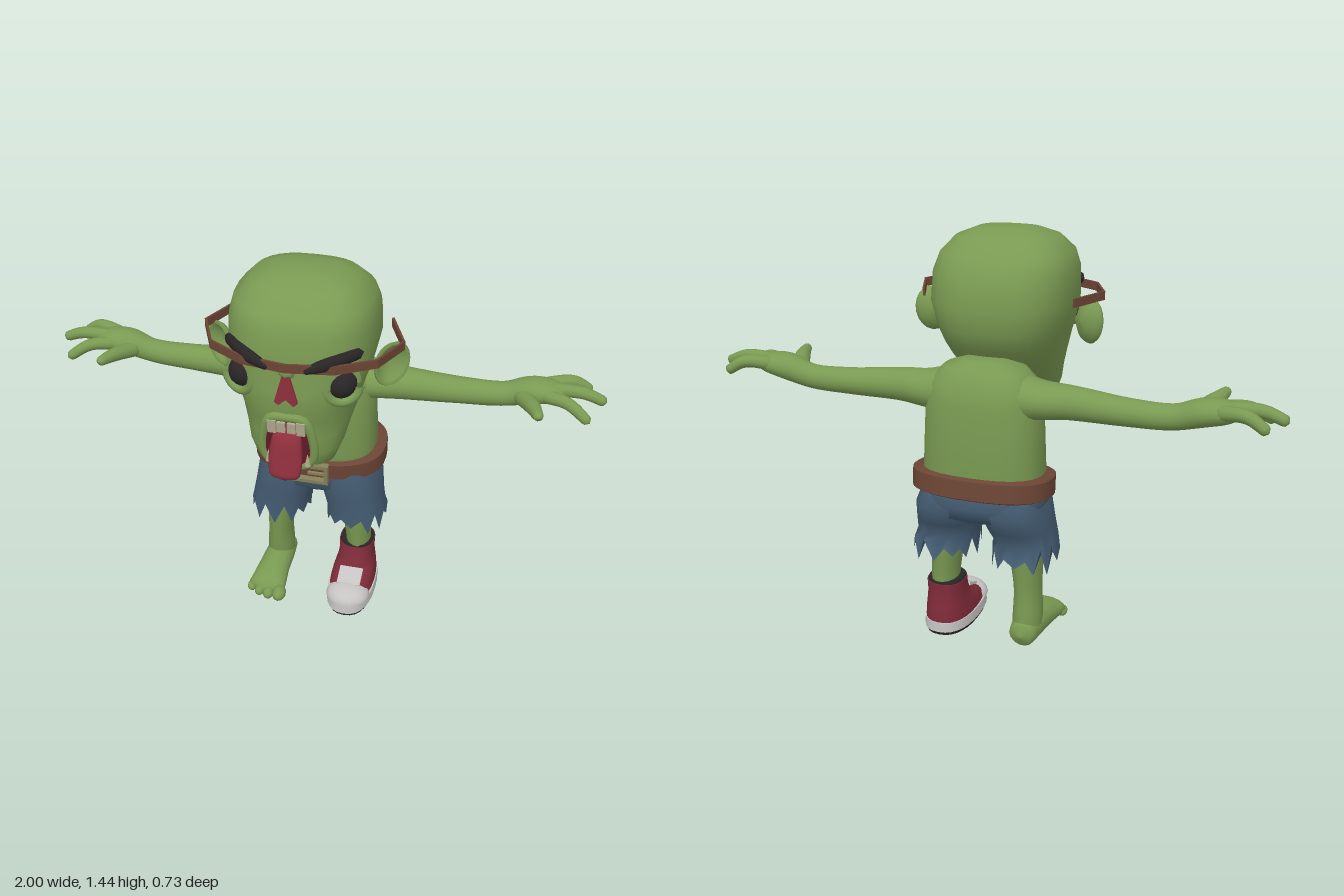
import * as THREE from 'three';
import { toCreasedNormals } from 'three/addons/utils/BufferGeometryUtils.js';

const mat = (name, color, side = THREE.FrontSide) => {
  const m = new THREE.MeshStandardMaterial({ color, side });
  m.name = name;
  return m;
};

// Skin a list of rings (each an array of Vector3, counter-clockwise about the direction of travel)
function loft(rings, capStart = true, capEnd = true) {
  const n = rings[0].length, pos = [], idx = [];
  rings.forEach(r => r.forEach(p => pos.push(p.x, p.y, p.z)));
  for (let i = 0; i < rings.length - 1; i++) for (let j = 0; j < n; j++) {
    const k = (j + 1) % n, a = i * n + j, b = i * n + k, c = b + n, d = a + n;
    idx.push(a, b, c, a, c, d);
  }
  const cap = (i, flip) => {
    const c = new THREE.Vector3();
    rings[i].forEach(p => c.addScaledVector(p, 1 / n));
    const ci = pos.length / 3;
    pos.push(c.x, c.y, c.z);
    for (let j = 0; j < n; j++) {
      const a = i * n + j, b = i * n + (j + 1) % n;
      idx.push(ci, ...(flip ? [b, a] : [a, b]));
    }
  };
  if (capStart) cap(0, true);
  if (capEnd) cap(rings.length - 1, false);
  const g = new THREE.BufferGeometry();
  g.setAttribute('position', new THREE.Float32BufferAttribute(pos, 3));
  g.setIndex(idx);
  g.computeVertexNormals();
  return g;
}

// Stack of superellipse sections going up: [y, halfWidth, zBack, zFront, xCentre]
function stack(sections, { n = 28, pow = 2.5, jag = null, open = false } = {}) {
  const sp = v => Math.sign(v) * Math.abs(v) ** (2 / pow);
  const rings = sections.map(([y, hw, zb, zf, cx = 0], i) => Array.from({ length: n }, (_, j) => {
    const t = j / n * Math.PI * 2;
    return new THREE.Vector3(cx + hw * sp(Math.sin(t)), y + (jag && i === 0 ? jag(j) : 0),
      (zb + zf) / 2 + (zf - zb) / 2 * sp(Math.cos(t)));
  }));
  return loft(rings, !open, !open);
}

// Rounded limb through points [x, y, z, sideRadius, upRadius]
function limb(pts, up = new THREE.Vector3(0, 1, 0), steps = 24, n = 14) {
  const path = new THREE.CatmullRomCurve3(pts.map(p => new THREE.Vector3(p[0], p[1], p[2])));
  const size = new THREE.CatmullRomCurve3(pts.map(p => new THREE.Vector3(p[3], p[4], 0)));
  const rings = [];
  for (let i = 0; i <= steps; i++) {
    const u = i / steps, c = path.getPoint(u), r = size.getPoint(u), t = path.getTangent(u);
    const side = new THREE.Vector3().crossVectors(up, t).normalize();
    const top = new THREE.Vector3().crossVectors(t, side);
    const end = Math.max(0, (Math.abs(u - 0.5) - 0.4) / 0.1);
    const f = Math.sqrt(Math.max(0.0004, 1 - end * end));
    rings.push(Array.from({ length: n }, (_, j) => {
      const a = j / n * Math.PI * 2;
      return c.clone().addScaledVector(side, Math.cos(a) * r.x * f).addScaledVector(top, Math.sin(a) * r.y * f);
    }));
  }
  return loft(rings);
}

export function createModel() {
  const root = new THREE.Group();
  const skin = mat('skin green', 0x7a9a52), denim = mat('denim blue', 0x445c72, THREE.DoubleSide);
  const leather = mat('brown leather', 0x6c4535), red = mat('shoe red', 0x7e2b39);
  const white = mat('rubber white', 0xc6c4c2), black = mat('black', 0x2a2628);
  const metal = mat('buckle metal', 0x85805a), bone = mat('tooth', 0xb3aa90);
  const pink = mat('tongue red', 0x8e2f3d), dark = mat('mouth red', 0x651c28);
  const Z = new THREE.Vector3(0, 0, 1);
  const add = (name, geo, m, parent = root) => {
    const o = new THREE.Mesh(geo, m);
    o.name = name;
    parent.add(o);
    return o;
  };
  const group = (name, x, y, z) => {
    const g = new THREE.Group();
    g.name = name;
    g.position.set(x, y, z);
    root.add(g);
    return g;
  };

  // Head and torso
  add('head', stack([[0.81, 0.09, 0.12, 0.25], [0.825, 0.135, 0.07, 0.27], [0.88, 0.157, 0.03, 0.285],
    [0.94, 0.172, -0.05, 0.288], [1.0, 0.19, -0.13, 0.295], [1.06, 0.205, -0.19, 0.316],
    [1.12, 0.225, -0.215, 0.31], [1.2, 0.243, -0.23, 0.305], [1.3, 0.24, -0.21, 0.3],
    [1.36, 0.223, -0.165, 0.27], [1.41, 0.175, -0.105, 0.21], [1.435, 0.11, -0.03, 0.14], [1.44, 0.04, 0.03, 0.09]],
  { pow: 2.6 }), skin);
  add('torso', stack([[0.56, 0.2, -0.32, -0.05], [0.65, 0.212, -0.335, -0.03], [0.8, 0.205, -0.33, -0.03],
    [0.9, 0.2, -0.325, -0.03], [0.96, 0.185, -0.31, -0.045], [1.01, 0.14, -0.28, -0.08], [1.035, 0.07, -0.24, -0.13]]), skin);

  // Mouth: cavity, lips, teeth, hanging tongue
  const mouth = group('mouth', 0, 0.93, 0.293);
  mouth.rotation.x = 0.13;
  const outline = [[-0.055, 0.092], [0, 0.1], [0.055, 0.092], [0.08, 0.03], [0.082, -0.06], [0.05, -0.097], [-0.05, -0.097], [-0.082, -0.06], [-0.08, 0.03]];
  const cavity = new THREE.Shape(outline.map(p => new THREE.Vector2(...p)));
  add('mouthCavity', new THREE.ExtrudeGeometry(cavity, { depth: 0.009, bevelEnabled: false }), dark, mouth);
  const lipPath = new THREE.CatmullRomCurve3(outline.map(p => new THREE.Vector3(p[0], p[1], 0)), true);
  add('lips', new THREE.TubeGeometry(lipPath, 40, 0.016, 8, true), skin, mouth);
  for (const x of [-0.048, -0.017, 0.017, 0.048])
    add('upperTooth', new THREE.BoxGeometry(0.028, Math.abs(x) > 0.03 ? 0.05 : 0.04, 0.014), bone, mouth).position.set(x, 0.068, 0.012);
  for (const x of [-0.066, 0.066])
    add('lowerTooth', new THREE.ConeGeometry(0.012, 0.05, 6), bone, mouth).position.set(x, -0.06, 0.012);
  add('tongue', limb([[0, 0.98, 0.28, 0.04, 0.02], [0, 0.95, 0.312, 0.05, 0.022], [0, 0.885, 0.33, 0.057, 0.022],
    [0, 0.812, 0.35, 0.05, 0.018]], Z), pink);

  // Open nose cavity
  const nose = new THREE.Shape([[-0.012, 1.185], [-0.038, 1.09], [-0.025, 1.078], [0, 1.1], [0.025, 1.078], [0.038, 1.09], [0.012, 1.185]]
    .map(p => new THREE.Vector2(...p)));
  add('noseCavity', new THREE.ExtrudeGeometry(nose, { depth: 0.009, bevelEnabled: false }), pink).position.z = 0.31;
  add('noseBridge', new THREE.SphereGeometry(0.03, 12, 8), skin).position.set(0, 1.195, 0.293);

  // Loose strap around the face
  const half = [[0.27, -0.06], [0.33, 0.09], [0.27, 0.225], [0.15, 0.298]];
  const strap = [...half, [0, 0.322], ...half.map(([x, z]) => [-x, z]).reverse()];
  for (let i = 0; i < strap.length - 1; i++) {
    const [x0, z0] = strap[i], [x1, z1] = strap[i + 1];
    const s = add('strap', new THREE.BoxGeometry(Math.hypot(x1 - x0, z1 - z0) + 0.004, 0.03, 0.008), leather);
    s.position.set((x0 + x1) / 2, 1.216, (z0 + z1) / 2);
    s.rotation.y = Math.atan2(z0 - z1, x1 - x0);
  }

  // Ear dish profile, turned about its facing axis
  const earProfile = [[0.0, -0.03], [0.03, -0.026], [0.055, -0.005], [0.064, 0.012], [0.06, 0.02], [0.05, 0.012], [0.03, -0.006], [0.0, -0.012]]
    .map(p => new THREE.Vector2(...p));

  for (const s of [1, -1]) {
    const side = s > 0 ? 'left' : 'right';
    // Eyes with lids, brows, ears
    const eye = group(side + 'EyeGroup', s * 0.158, 1.14, 0.234);
    eye.rotation.y = s * 0.45;
    add(side + 'Eye', new THREE.SphereGeometry(0.052, 18, 12), black, eye);
    const bag = add(side + 'EyeBag', new THREE.TorusGeometry(0.055, 0.016, 8, 18, Math.PI), skin, eye);
    bag.rotation.z = Math.PI;
    bag.position.set(0, -0.004, 0.025);
    add(side + 'UpperLid', new THREE.TorusGeometry(0.054, 0.013, 8, 18, Math.PI), skin, eye).position.z = 0.005;
    add(side + 'Brow', limb([[s * 0.05, 1.203, 0.312, 0.01, 0.01], [s * 0.13, 1.232, 0.292, 0.016, 0.024],
      [s * 0.225, 1.245, 0.21, 0.012, 0.02]], undefined, 14, 8), black);
    const ear = group(side + 'EarGroup', s * 0.285, 1.13, 0.055);
    ear.rotation.y = s * 0.62;
    ear.rotation.z = -s * 0.2;
    add(side + 'Ear', new THREE.LatheGeometry(earProfile, 20).rotateX(Math.PI / 2).scale(1, 1.27, 1), skin, ear);

    // Arm, three fingers and thumb
    add(side + 'Arm', limb([[s * 0.06, 0.92, -0.19, 0.1, 0.1], [s * 0.2, 0.915, -0.19, 0.085, 0.066],
      [s * 0.3, 0.915, -0.185, 0.064, 0.058], [s * 0.5, 0.908, -0.195, 0.05, 0.047], [s * 0.65, 0.912, -0.2, 0.045, 0.043],
      [s * 0.75, 0.94, -0.2, 0.062, 0.046], [s * 0.87, 0.95, -0.195, 0.058, 0.028]], undefined, 32, 18), skin);
    const digits = {
      BackFinger: [[0.78, 0.95, -0.23, 0.026, 0.026], [0.88, 0.958, -0.262, 0.023, 0.022], [0.95, 0.92, -0.28, 0.018, 0.018]],
      MiddleFinger: [[0.8, 0.955, -0.195, 0.026, 0.026], [0.92, 0.958, -0.19, 0.023, 0.022], [1.0, 0.93, -0.19, 0.018, 0.018]],
      FrontFinger: [[0.78, 0.945, -0.165, 0.026, 0.026], [0.87, 0.945, -0.128, 0.023, 0.022], [0.95, 0.9, -0.092, 0.018, 0.018]],
      Thumb: [[0.71, 0.925, -0.18, 0.035, 0.03], [0.755, 0.945, -0.08, 0.028, 0.025], [0.782, 0.955, 0.005, 0.016, 0.016]],
    };
    for (const [name, pts] of Object.entries(digits))
      add(side + name, limb(pts.map(([x, ...r]) => [s * x, ...r]), undefined, 20, 10), skin);

    // Leg and ragged trouser leg
    add(side + 'Leg', limb([[s * 0.14, 0.5, -0.18, 0.08, 0.09], [s * 0.15, 0.34, -0.17, 0.058, 0.08],
      [s * 0.158, 0.2, -0.172, 0.048, 0.07], [s * 0.16, 0.11, -0.18, 0.052, 0.068], [s * 0.16, 0.02, -0.19, 0.05, 0.06]], Z), skin);
    const jag = j => (j % 2 ? 0.055 : 0) + 0.016 * Math.sin(j * 2.3 + s);
    add(side + 'TrouserLeg', stack([[0.32, 0.113, -0.3, -0.04, s * 0.149], [0.4, 0.108, -0.272, -0.04, s * 0.144],
      [0.46, 0.112, -0.31, -0.035, s * 0.13], [0.53, 0.114, -0.345, -0.03, s * 0.118], [0.59, 0.1, -0.32, -0.04, s * 0.11]],
    { n: 24, open: true, jag }), denim);
  }

  // Seat of the shorts
  add('shortsSeat', stack([[0.465, 0.09, -0.26, -0.08], [0.5, 0.19, -0.33, -0.04], [0.55, 0.228, -0.348, -0.03],
    [0.63, 0.215, -0.34, -0.03]]), denim);

  // Belt, higher at the back, with a framed buckle
  const belt = group('beltGroup', 0, 0.61, -0.19);
  belt.rotation.x = 0.1;
  add('belt', toCreasedNormals(stack([[-0.038, 0.236, -0.16, 0.16], [-0.032, 0.248, -0.171, 0.17],
    [0.032, 0.248, -0.171, 0.17], [0.038, 0.236, -0.16, 0.16]], { n: 36 }), 0.5), leather, belt);
  const frame = new THREE.Shape([[-0.067, -0.042], [0.067, -0.042], [0.067, 0.042], [-0.067, 0.042]].map(p => new THREE.Vector2(...p)));
  frame.holes.push(new THREE.Path([[-0.052, -0.028], [-0.052, 0.028], [0.052, 0.028], [0.052, -0.028]].map(p => new THREE.Vector2(...p))));
  add('buckleFrame', new THREE.ExtrudeGeometry(frame, { depth: 0.024, bevelEnabled: false }), metal, belt).position.z = 0.168;
  add('bucklePin', new THREE.BoxGeometry(0.06, 0.01, 0.01), metal, belt).position.set(0.02, 0, 0.182);

  // Bare right foot with toes
  add('rightFoot', limb([[-0.158, 0.05, -0.262, 0.045, 0.045], [-0.16, 0.058, -0.18, 0.056, 0.056], [-0.165, 0.052, -0.08, 0.062, 0.05],
    [-0.17, 0.034, 0.05, 0.078, 0.03]]), skin);
  [[-0.228, 0.02, 0.019], [-0.193, 0.04, 0.02], [-0.155, 0.05, 0.022], [-0.112, 0.05, 0.027]].forEach(([x, z, r]) =>
    add('toe', new THREE.SphereGeometry(r, 12, 8).scale(1, 1, 1.4), skin).position.set(x, r + 0.006, z));

  // High-top shoe on the left foot
  const cx = 0.153;
  const shoe = (name, secs, m, pow = 2.4) =>
    add(name, toCreasedNormals(stack(secs.map(q => [...q, cx]), { pow }), 0.7), m);
  shoe('shoeSole', [[0, 0.086, -0.262, 0.078], [0.016, 0.09, -0.268, 0.083]], black);
  shoe('shoeRubberBand', [[0.014, 0.092, -0.27, 0.086], [0.05, 0.09, -0.268, 0.082]], white);
  shoe('shoeUpper', [[0.045, 0.086, -0.264, 0.06], [0.075, 0.083, -0.262, 0.035], [0.1, 0.077, -0.258, -0.02],
    [0.115, 0.072, -0.254, -0.065], [0.15, 0.067, -0.25, -0.085], [0.195, 0.068, -0.25, -0.098]], red);
  shoe('shoeCollar', [[0.19, 0.066, -0.247, -0.1], [0.203, 0.063, -0.243, -0.104]], black);
  add('shoeToeCap', new THREE.SphereGeometry(1, 20, 12, 0, Math.PI * 2, 0, Math.PI / 2).scale(0.084, 0.05, 0.078), white)
    .position.set(cx, 0.046, 0.002);
  const flap = add('shoeTongue', new THREE.BoxGeometry(0.09, 0.012, 0.075), white);
  flap.position.set(cx, 0.103, -0.035);
  flap.rotation.x = 0.4;
  return root;
}
